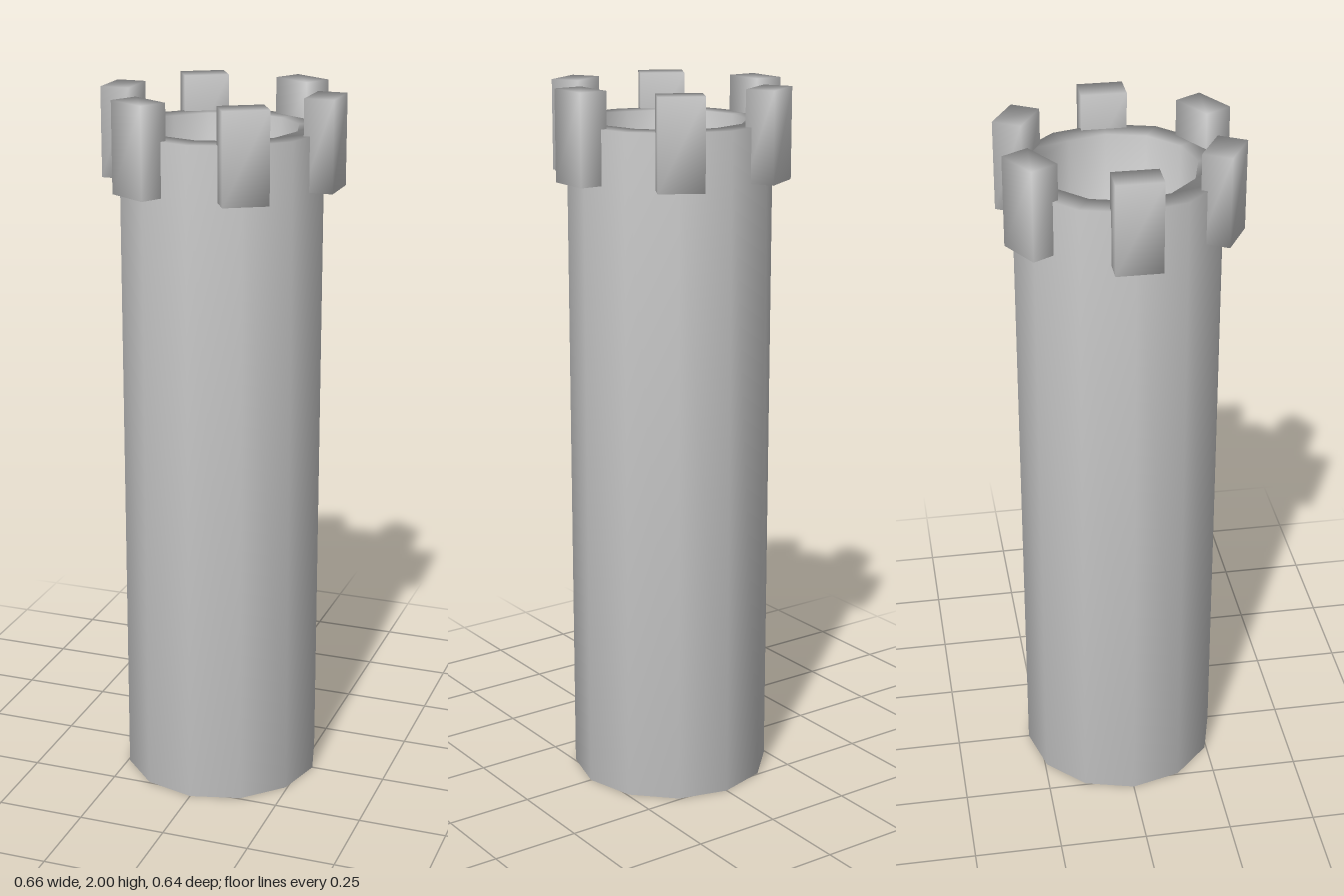
import * as THREE from 'three';
import { mergeVertices } from 'three/addons/utils/BufferGeometryUtils.js';

const SIDES = 12;
const OUTER = 0.283, INNER = 0.212;
const WALL_TOP = 1.9, PIT_FLOOR = 1.4;

// Box with one shared, rounded-looking normal per corner
function softBox(w, h, d) {
  const box = new THREE.BoxGeometry(w, h, d);
  box.deleteAttribute('normal');
  box.deleteAttribute('uv');
  const welded = mergeVertices(box);
  welded.computeVertexNormals();
  return welded;
}

export function createModel() {
  const group = new THREE.Group();
  group.name = 'tower';
  const material = new THREE.MeshStandardMaterial({ color: 0xcccccc });

  // Twelve-sided shaft with a closed base and a hollow top
  const profile = [
    [0, 0], [OUTER, 0], [OUTER, WALL_TOP],
    [INNER, WALL_TOP], [INNER, PIT_FLOOR], [0, PIT_FLOOR],
  ].map(([r, y]) => new THREE.Vector2(r, y));
  const shaft = new THREE.Mesh(new THREE.LatheGeometry(profile, SIDES), material);
  shaft.name = 'shaft';
  group.add(shaft);

  // Six battlement blocks straddling the outer edge of the rim
  const blockGeometry = softBox(0.082, 0.25, 0.125);
  for (let i = 0; i < 6; i++) {
    const angle = (i * Math.PI) / 3;
    const block = new THREE.Mesh(blockGeometry, material);
    block.name = `battlement${i + 1}`;
    block.position.set(0.29 * Math.cos(angle), 1.875, -0.29 * Math.sin(angle));
    block.rotation.y = angle;
    group.add(block);
  }
  return group;
}
